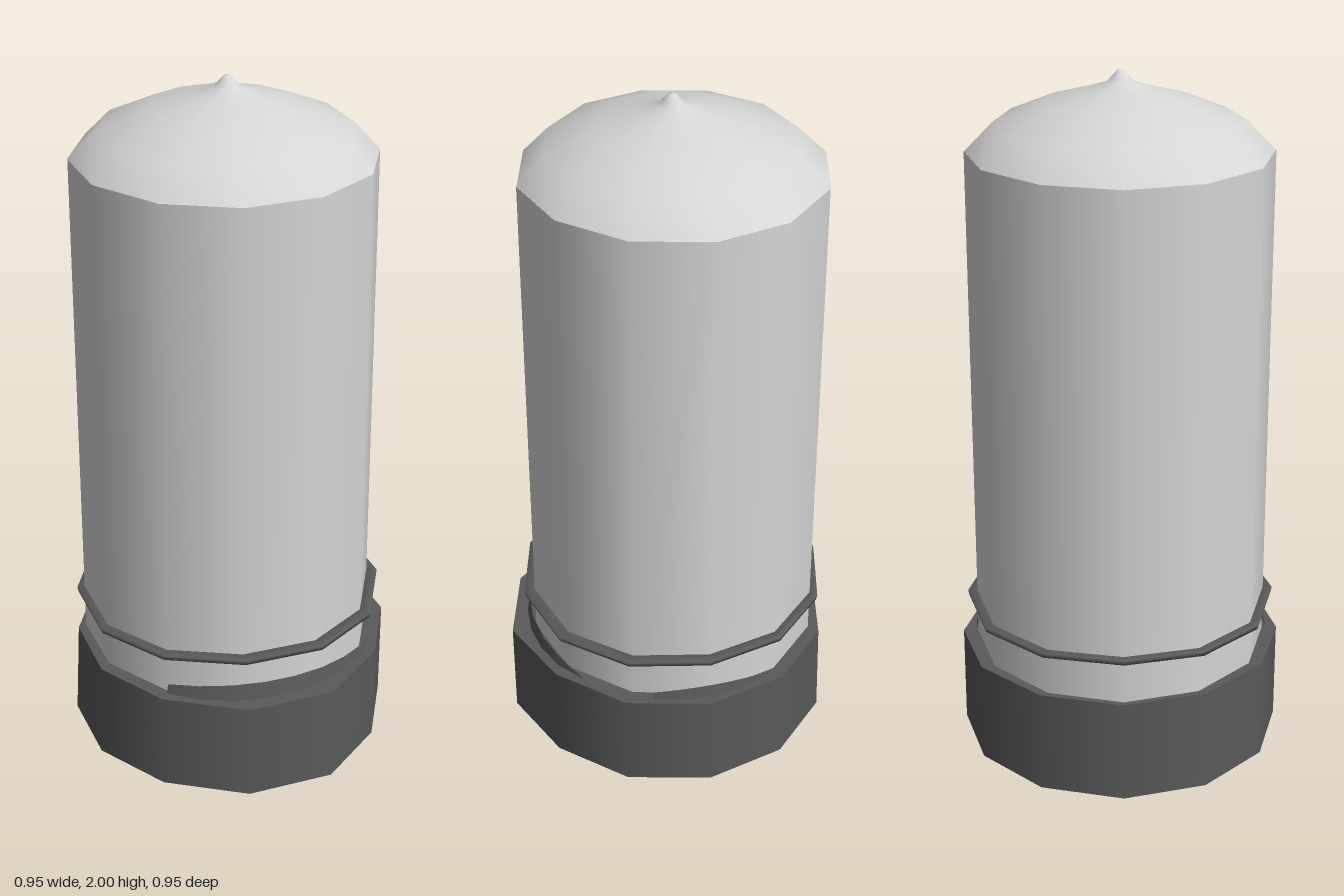
import * as THREE from 'three';

const SIDES = 12;

export function createModel() {
  const model = new THREE.Group();
  const light = new THREE.MeshStandardMaterial({ color: 0xd6d6d6 });
  light.name = 'light grey';
  const dark = new THREE.MeshStandardMaterial({ color: 0x5a5a5a });
  dark.name = 'dark grey';

  const add = (name, geometry, material) => {
    const mesh = new THREE.Mesh(geometry, material);
    mesh.name = name;
    model.add(mesh);
    return mesh;
  };
  // Move every vertex by a rule
  const warp = (geometry, rule) => {
    const pos = geometry.attributes.position;
    const v = new THREE.Vector3();
    for (let i = 0; i < pos.count; i++) {
      rule(v.fromBufferAttribute(pos, i));
      pos.setXYZ(i, v.x, v.y, v.z);
    }
    geometry.computeBoundingSphere();
    return geometry;
  };
  const lathe = (points) =>
    new THREE.LatheGeometry(points.map(([r, y]) => new THREE.Vector2(r, y)), SIDES);

  // Base drum: slightly wider at the front left, narrower at the upper right
  const base = new THREE.CylinderGeometry(0.475, 0.475, 0.295, SIDES).translate(0, 0.1475, 0);
  warp(base, (v) => {
    if (v.x > 0.2 && v.z > 0.2) {
      v.x *= 1.06;
      v.z *= 1.03;
    }
    if (v.y > 0.2 && v.x < -0.1) v.x *= 0.96;
  });
  add('base', base, dark);

  // Tall body, leaning in a little on its left side
  const body = new THREE.CylinderGeometry(0.43, 0.43, 1.5, SIDES, 1, true).translate(-0.006, 1.03, 0);
  warp(body, (v) => {
    if (v.y > 1 && v.x > 0) v.x *= 0.98;
    if (v.x < 0) v.x *= 1.008;
  });
  add('body', body, light);

  // Domed cap with a small pointed tip
  const dome = lathe([
    [0.428, 1.78], [0.35, 1.86], [0.21, 1.918], [0.1, 1.948],
    [0.04, 1.967], [0.022, 1.985], [0.01, 1.999], [0, 2],
  ]);
  warp(dome, (v) => { v.x -= 0.005 + 0.0075 * (2 - v.y) / 0.22; });
  add('dome', dome, light);

  // Thin collar band around the body
  const collar = lathe([[0.42, 0.415], [0.455, 0.417], [0.458, 0.432], [0.42, 0.436], [0.42, 0.415]]);
  warp(collar, (v) => {
    v.y += 0.006 * Math.sin(3 * Math.atan2(v.x, v.z));
    v.x -= 0.002;
  });
  add('collar', collar, dark);

  // Uneven ledges on top of the base, following the body; angles run from front to left
  const ledge = (start, length, height) => {
    const geometry = new THREE.CylinderGeometry(0.436, 0.445, 0.05, 8, 1, true, start, length);
    return warp(geometry, (v) => {
      const t = THREE.MathUtils.clamp((Math.atan2(v.x, v.z) - start) / length, 0, 1);
      v.y = v.y < 0 ? 0.29 : 0.297 + height * Math.pow(Math.sin(Math.PI * (0.12 + 0.88 * t)), 0.7);
    });
  };
  const twoSided = dark.clone();
  twoSided.side = THREE.DoubleSide;
  add('frontLedge', ledge(0, 1.73, 0.05), twoSided);
  add('rearLedge', ledge(2.25, 0.85, 0.034), twoSided);

  // Narrow upright fin on the left side
  const fin = new THREE.Shape();
  fin.moveTo(-0.105, 0);
  fin.lineTo(-0.07, 0);
  fin.lineTo(-0.098, 0.27);
  fin.lineTo(-0.103, 0.27);
  fin.closePath();
  const finGeometry = new THREE.ExtrudeGeometry(fin, { depth: 0.009, bevelEnabled: false });
  finGeometry.rotateY(Math.PI / 2).rotateY(-0.26).translate(0.38, 0.3, 0);
  warp(finGeometry, (v) => {
    // keep the fin hugging the body facet
    v.x = 0.424 - 0.268 * v.z + (v.x > 0.383 + 0.268 * v.z ? 0.004 : -0.004);
  });
  add('fin', finGeometry, twoSided);

  return model;
}
